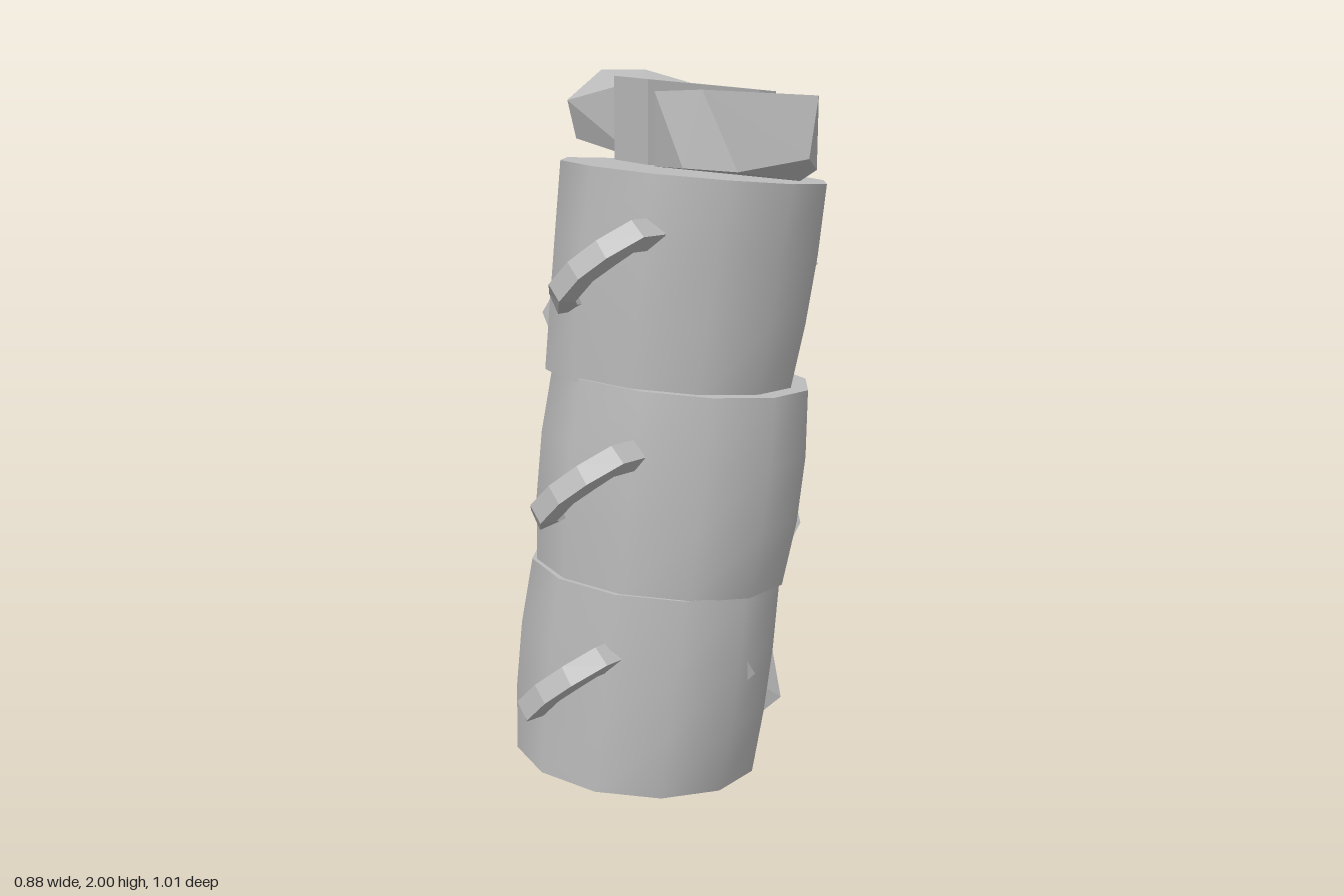
import * as THREE from 'three';
import { toCreasedNormals } from 'three/addons/utils/BufferGeometryUtils.js';
import { ConvexGeometry } from 'three/addons/geometries/ConvexGeometry.js';

const TILT = 0.09; // the stack leans towards +x

export function createModel() {
  const group = new THREE.Group();
  const grey = new THREE.MeshStandardMaterial({ color: 0xbcbcbc });
  grey.name = 'plain grey';

  const add = (name, geometry) => {
    const mesh = new THREE.Mesh(geometry, grey);
    mesh.name = name;
    group.add(mesh);
  };
  const hull = (name, points) =>
    add(name, new ConvexGeometry(points.map((p) => new THREE.Vector3(...p))));

  // Leaning drum: bottom and top centres, bottom and top radii, depth ratio, gentle bulge
  function drum(name, a, b, r0, r1, depth, bulge, phase) {
    const geo = new THREE.CylinderGeometry(1, 1, 1, 12, 3);
    const pos = geo.attributes.position;
    for (let i = 0; i < pos.count; i++) {
      const x = pos.getX(i), z = pos.getZ(i), t = pos.getY(i) + 0.5;
      const angle = Math.atan2(z, x);
      const r = r0 + (r1 - r0) * t
        + Math.sin(Math.PI * t) * (bulge + 0.008 * Math.sin(3 * angle + phase));
      pos.setXYZ(i,
        a[0] + (b[0] - a[0]) * t + x * r,
        a[1] + (b[1] - a[1]) * t - x * r * TILT,
        a[2] + (b[2] - a[2]) * t + z * r * depth);
    }
    add(name, toCreasedNormals(geo, 0.9));
  }
  drum('bottomDrum', [-0.09, 0.035, 0.03], [-0.03, 0.6, 0.015], 0.352, 0.362, 1, 0.01, 0);
  drum('middleDrum', [-0.02, 0.595, 0.015], [0.033, 1.15, -0.01], 0.36, 0.368, 0.97, 0.014, 1);
  drum('topDrum', [-0.005, 1.14, -0.01], [0.065, 1.715, -0.025], 0.354, 0.376, 0.955, 0.004, 2);

  // Square-section handles, one in front and one behind on every drum
  function handle(name, points, offset) {
    const pts = points.map((p) => new THREE.Vector3(...p).add(new THREE.Vector3(...offset)));
    const path = new THREE.CatmullRomCurve3(pts, false, 'catmullrom', 0.15);
    const geo = new THREE.TubeGeometry(path, 6, 0.042, 4).toNonIndexed();
    geo.computeVertexNormals();
    add(name, geo);
  }
  const front = [[-0.04, 0.42, 0.33], [-0.08, 0.415, 0.42], [-0.2, 0.33, 0.44],
    [-0.28, 0.25, 0.41], [-0.29, 0.24, 0.27]];
  const back = [[0.06, 0.41, -0.28], [0.02, 0.39, -0.41], [-0.06, 0.32, -0.45],
    [-0.17, 0.25, -0.42], [-0.24, 0.24, -0.26]];
  const shifts = [[0, 0, 0], [0.06, 0.56, 0.03], [0.1, 1.14, -0.02]];
  ['bottom', 'middle', 'top'].forEach((level, i) => {
    const [x, y, z] = shifts[i];
    handle(level + 'FrontHandle', front, [x, y, z]);
    handle(level + 'BackHandle', back, [x, y, i === 2 ? -0.02 : 0]);
  });

  // Small pointed creases on the sides: three points on the drum, one raised
  const creases = [
    [[0.26, 0.43, 0.19], [0.27, 0.36, 0.12], [0.24, 0.28, 0.16], [0.3, 0.34, 0.15]],
    [[0.26, 0.4, -0.14], [0.22, 0.2, -0.17], [0.21, 0.08, -0.2], [0.3, 0.17, -0.15]],
    [[0.25, 0.34, -0.19], [0.2, 0.2, -0.23], [0.2, 0.09, -0.22], [0.27, 0.2, -0.2]],
    [[0.31, 0.96, 0.17], [0.33, 0.93, 0.1], [0.31, 0.83, 0.15], [0.355, 0.89, 0.14]],
    [[0.35, 0.88, -0.01], [0.35, 0.72, -0.04], [0.33, 0.62, 0.02], [0.385, 0.74, -0.01]],
    [[0.34, 1.54, -0.18], [0.33, 1.42, -0.22], [0.33, 1.41, -0.19], [0.38, 1.45, -0.2]],
    [[-0.31, 1.4, 0.05], [-0.31, 1.22, 0.08], [-0.31, 1.3, -0.05], [-0.375, 1.31, 0.02]],
    [[-0.31, 1.18, 0.02], [-0.34, 0.95, 0.06], [-0.34, 0.93, -0.06], [-0.375, 0.98, 0]],
  ];
  creases.forEach((points, i) => hull('sideCrease' + (i + 1), points));

  // Bow on top: knot between two blocky loops
  const knot = [[-0.12, 0.11], [-0.12, -0.03], [0.01, -0.2], [0.14, -0.235],
    [0.265, -0.15], [0.235, -0.08], [0.01, 0.21]];
  hull('bowKnot', knot.flatMap(([x, z]) =>
    [[x, 1.957 - 0.1 * x, z], [x, 1.735 - 0.09 * x, z]]));
  hull('frontBowLoop', [
    [0.25, 1.925, -0.08], [0.425, 1.915, 0.02], [0.2, 1.925, 0.345], [0.025, 1.925, 0.2],
    [0.25, 1.74, -0.08], [0.425, 1.72, 0.03], [0.38, 1.69, 0.03], [0.29, 1.72, 0.33],
    [0.16, 1.73, 0.38], [0.025, 1.73, 0.2], [0.425, 1.75, 0.12],
  ]);
  hull('backBowLoop', [
    [-0.4, 1.92, -0.28], [-0.21, 1.88, -0.42], [-0.3, 2, -0.28], [-0.18, 2, -0.33],
    [-0.37, 1.91, -0.18], [-0.355, 1.8, -0.21], [-0.21, 1.77, -0.34],
    [-0.1, 1.97, -0.28], [0.01, 1.955, -0.19], [0.02, 1.91, -0.24], [0.02, 1.76, -0.22],
    [-0.2, 1.98, -0.15], [-0.11, 1.96, -0.05], [-0.11, 1.745, -0.05],
  ]);
  return group;
}
